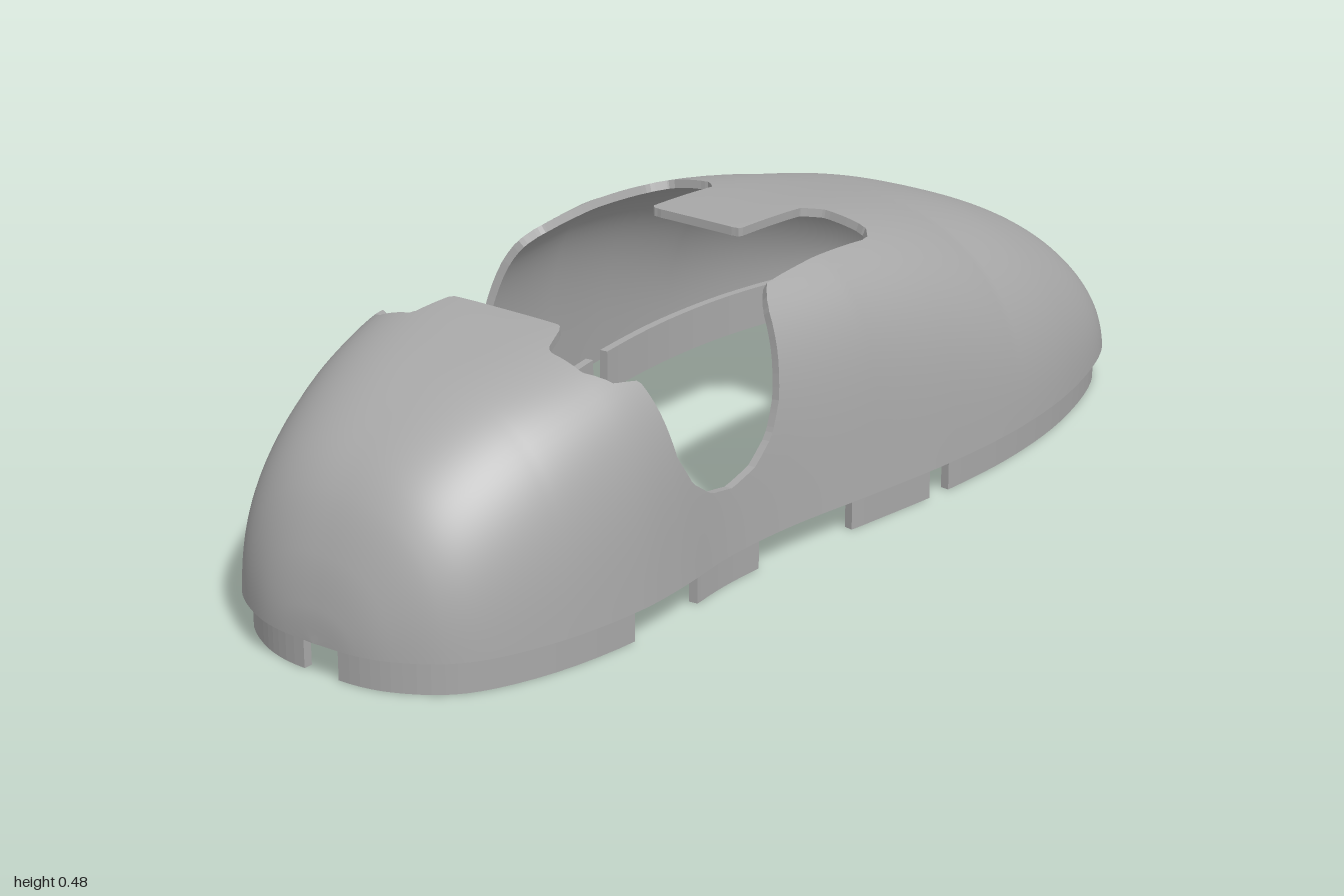
import * as THREE from 'three';

const BASE = 0.06, WALL = 0.015;
const V2 = (x, y) => new THREE.Vector2(x, y);
const V3 = (x, y, z) => new THREE.Vector3(x, y, z);

// Stations along the body: x, half width at the base, crown height
const spine = new THREE.CatmullRomCurve3([
  [-1, 0, .06], [-.995, .08, .12], [-.975, .145, .20], [-.93, .215, .29], [-.87, .26, .35], [-.75, .307, .415],
  [-.6, .334, .452], [-.5, .335, .467], [-.35, .325, .477], [-.2, .335, .482], [0, .37, .48], [.2, .4, .464],
  [.4, .41, .427], [.6, .39, .372], [.8, .33, .28], [.9, .255, .187], [.96, .165, .12], [.99, .08, .078], [1, 0, .06],
].map(p => V3(...p)), false, 'centripetal');

// Squareness of the cross-section along x
function squareness(x) {
  const k = [[-1, 2.4], [-.75, 3], [-.5, 4.2], [0, 4.2], [.4, 2.7], [1, 2.2]];
  const i = Math.max(1, k.findIndex(p => p[0] >= x));
  return THREE.MathUtils.lerp(k[i - 1][1], k[i][1],
    THREE.MathUtils.clamp((x - k[i - 1][0]) / (k[i][0] - k[i - 1][0]), 0, 1));
}

// Point on the outer skin: t runs along x, a goes over the top from +z to -z
function skin(t, a) {
  const p = spine.getPoint(t), n = squareness(p.x);
  const c = Math.cos(a), s = Math.max(0, Math.sin(a));
  const r = (Math.abs(c) ** n + s ** n) ** (-1 / n);
  return V3(p.x, BASE + (p.z - BASE) * r * s, p.y * r * c * (1 - .07 * r * s));
}

// Signed distance to a polygon, negative inside
function polygonDistance(poly, x, y) {
  let d = Infinity, inside = false;
  poly.forEach((a, i) => {
    const b = poly[(i + 1) % poly.length];
    const ex = b[0] - a[0], ey = b[1] - a[1], px = x - a[0], py = y - a[1];
    const k = THREE.MathUtils.clamp((px * ex + py * ey) / (ex * ex + ey * ey), 0, 1);
    d = Math.min(d, Math.hypot(px - ex * k, py - ey * k));
    if ((a[1] > y) !== (b[1] > y) && x < ex * (y - a[1]) / ey + a[0]) inside = !inside;
  });
  return inside ? -d : d;
}

// Top opening in plan (x, |z|) and side notch in elevation (x, y)
const topOpening = [[-.52, -.1], [-.52, .115], [-.59, .14], [-.59, .21], [-.56, .25], [-.5, .27], [-.18, .27],
  [-.14, .238], [.155, .238], [.19, .21], [.19, .125], [.16, .095], [-.02, .095], [-.02, -.1]];
const sideNotch = [[-.53, .55], [-.52, .42], [-.505, .36], [-.485, .275], [-.45, .22], [-.4, .185], [-.34, .174],
  [-.28, .19], [-.235, .23], [-.21, .285], [-.185, .39], [-.165, .45], [-.15, .55]];
function solidity(p) {
  const top = polygonDistance(topOpening, p.x, Math.abs(p.z));
  return Math.abs(p.z) > .16 ? Math.min(top, polygonDistance(sideNotch, p.x, p.y)) : top;
}

function makeShell() {
  const NU = 170, NV = 76, E = 1e-3, pos = [], nor = [], grid = [];
  const corner = (o, n, f) => {
    const i = o.clone().addScaledVector(n, -WALL);
    i.y = Math.max(BASE, i.y);
    return { o, i, n, f };
  };
  for (let u = 0; u <= NU; u++) {
    const t = u / NU, row = [];
    for (let v = 0; v <= NV; v++) {
      const a = Math.PI * v / NV, o = skin(t, a);
      const tc = THREE.MathUtils.clamp(t, .003, .997), ac = THREE.MathUtils.clamp(a, .002, Math.PI - .002);
      const du = skin(tc + E, ac).sub(skin(tc - E, ac)), dv = skin(tc, ac + E).sub(skin(tc, ac - E));
      const n = dv.cross(du).normalize();
      if (n.dot(V3(o.x * .3, o.y, o.z)) < 0) n.negate();
      row.push(corner(o, n, solidity(o)));
    }
    grid.push(row);
  }
  const face = (p, n) => {
    const g = p[1].clone().sub(p[0]).cross(p[2].clone().sub(p[0]));
    if (g.lengthSq() < 1e-16) return;
    const sum = n[0].clone().add(n[1]).add(n[2]);
    const order = g.dot(sum) < 0 ? [0, 2, 1] : [0, 1, 2];
    order.forEach(k => { pos.push(...p[k].toArray()); nor.push(...n[k].toArray()); });
  };
  // Flat wall between the outer and inner skin, facing away from the body
  const rim = (a, b, away) => {
    const n = b.o.clone().sub(a.o).cross(a.i.clone().sub(a.o)).normalize();
    if (n.dot(away) < 0) n.negate();
    face([a.o, b.o, b.i], [n, n, n]);
    face([a.o, b.i, a.i], [n, n, n]);
  };
  const cut = (a, b) => {
    const k = a.f / (a.f - b.f);
    return { o: a.o.clone().lerp(b.o, k), i: a.i.clone().lerp(b.i, k), n: a.n.clone().lerp(b.n, k).normalize(), f: 0 };
  };
  // Keep the solid part of each triangle and close the cut edge
  const clip = tri => {
    const keep = [], edge = [];
    tri.forEach((a, k) => {
      const b = tri[(k + 1) % 3];
      if (a.f > 0) keep.push(a);
      if ((a.f > 0) !== (b.f > 0)) { const c = cut(a, b); keep.push(c); edge.push(c); }
    });
    for (let k = 1; k + 1 < keep.length; k++) {
      const q = [keep[0], keep[k], keep[k + 1]];
      face(q.map(c => c.o), q.map(c => c.n));
      face(q.map(c => c.i), q.map(c => c.n.clone().negate()));
    }
    if (edge.length === 2) {
      const inside = tri.find(c => c.f > 0);
      rim(edge[0], edge[1], edge[0].o.clone().sub(inside.o));
    }
  };
  for (let u = 0; u < NU; u++) {
    for (let v = 0; v < NV; v++) {
      const a = grid[u][v], b = grid[u + 1][v], c = grid[u + 1][v + 1], d = grid[u][v + 1];
      clip([a, b, c]);
      clip([a, c, d]);
    }
    // Bottom edge on both sides
    for (const v of [0, NV]) rim(grid[u][v], grid[u + 1][v], V3(0, -1, 0));
  }
  const geo = new THREE.BufferGeometry();
  geo.setAttribute('position', new THREE.Float32BufferAttribute(pos, 3));
  geo.setAttribute('normal', new THREE.Float32BufferAttribute(nor, 3));
  return geo;
}

// Point on the base outline moved inwards by d
function outline(t, d) {
  const p = spine.getPoint(t), g = spine.getTangent(t), l = Math.hypot(g.x, g.y);
  return V2(p.x + g.y / l * d, p.y - g.x / l * d);
}
function findT(test) {
  let t = 0;
  while (t < 1 && !test(outline(t, .016))) t += .0005;
  return t;
}

// Curved locating tab that follows the base outline
function makeTab(t0, t1, side) {
  const N = 20, outer = [], inner = [];
  for (let k = 0; k <= N; k++) {
    const t = t0 + (t1 - t0) * k / N;
    outer.push(outline(t, .016));
    inner.unshift(outline(t, .032));
  }
  const pts = [...outer, ...inner].map(p => V2(p.x, -side * p.y));
  const geo = new THREE.ExtrudeGeometry(new THREE.Shape(pts), { depth: .08, bevelEnabled: false });
  return geo.rotateX(-Math.PI / 2);
}

export function createModel() {
  const model = new THREE.Group();
  model.name = 'deviceCover';
  const grey = new THREE.MeshStandardMaterial({ color: 0xa8a8a8 });
  grey.name = 'grey plastic';
  const add = (geo, name) => {
    const mesh = new THREE.Mesh(geo, grey);
    mesh.name = name;
    model.add(mesh);
  };
  add(makeShell(), 'shell');

  // Tabs under the rim, mirrored left and right
  const at = x => findT(p => p.x >= x && p.y > .1);
  const tabs = [[findT(p => p.y >= .035), at(-.6)], [at(-.43), at(-.26)], [at(-.04), at(.15)], [at(.2), at(.84)]];
  for (const side of [1, -1])
    tabs.forEach(([a, b], k) => add(makeTab(a, b, side), `${side > 0 ? 'front' : 'back'}Tab${k + 1}`));
  return model;
}
